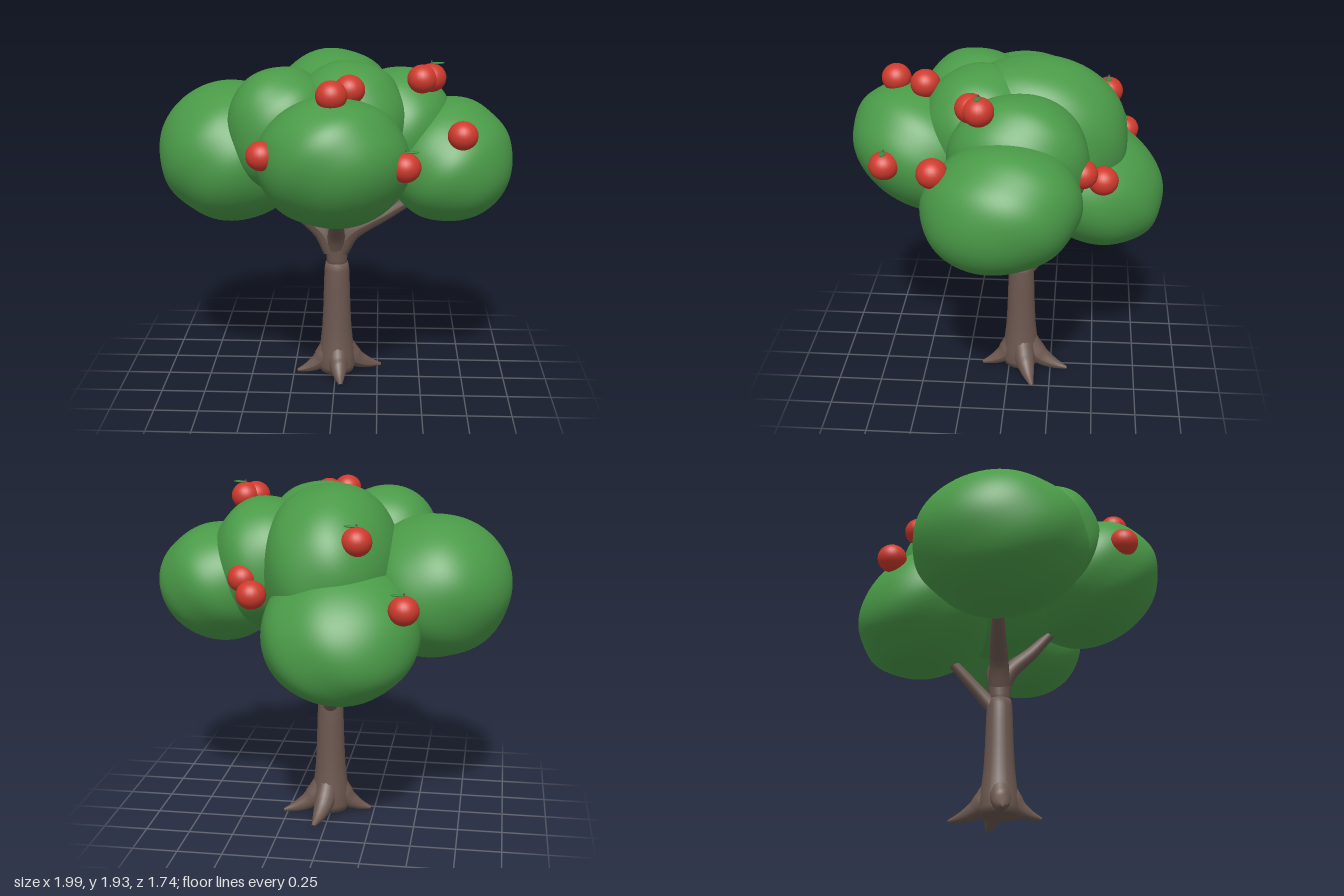
import * as THREE from 'three';
import { mergeVertices } from 'three/addons/utils/BufferGeometryUtils.js';

const mat = (name, color) => {
  const m = new THREE.MeshStandardMaterial({ color });
  m.name = name;
  return m;
};

// Smooth, faintly lumpy ellipsoid; fullness above 2 is boxier, slope leans it along z
function lumpyBlob([rx, ry, rz], seed, fullness, slope) {
  let g = new THREE.IcosahedronGeometry(1, 14);
  g.deleteAttribute('uv');
  g.deleteAttribute('normal');
  g = mergeVertices(g);
  const p = g.attributes.position;
  for (let i = 0; i < p.count; i++) {
    const x = p.getX(i), y = p.getY(i), z = p.getZ(i);
    const sum = Math.abs(x) ** fullness + Math.abs(y) ** fullness + Math.abs(z) ** fullness;
    const k = sum ** (-1 / fullness) * (1 + 0.009 * Math.sin(6 * x - 5 * y + 4 * z + seed));
    p.setXYZ(i, x * rx * k, (y * ry + slope * z * rz) * k, z * rz * k);
  }
  g.computeVertexNormals();
  return g;
}

// Round limb along a curve, tapering through the given radii
function taperedLimb(points, radii, sides = 12, steps = 14) {
  const curve = new THREE.CatmullRomCurve3(points.map(a => new THREE.Vector3(...a)));
  const g = new THREE.TubeGeometry(curve, steps, 1, sides, false);
  const p = g.attributes.position;
  const v = new THREE.Vector3();
  for (let i = 0; i <= steps; i++) {
    const t = i / steps, f = t * (radii.length - 1);
    const k = Math.min(Math.floor(f), radii.length - 2);
    const r = THREE.MathUtils.lerp(radii[k], radii[k + 1], f - k);
    const c = curve.getPointAt(t);
    for (let j = 0; j <= sides; j++) {
      const n = i * (sides + 1) + j;
      v.fromBufferAttribute(p, n).sub(c).multiplyScalar(r).add(c);
      p.setXYZ(n, v.x, Math.max(v.y, 0.003), v.z);
    }
  }
  g.computeVertexNormals();
  return g;
}

export function createModel() {
  const tree = new THREE.Group();
  tree.name = 'fruitTree';
  const bark = mat('bark brown', 0x6b574f);
  const foliage = mat('foliage green', 0x4a9a48);
  const red = mat('fruit red', 0xcf3a2d);
  const leafGreen = mat('leaf green', 0x3c8a40);

  const add = (parent, name, geometry, material, pos = [0, 0, 0]) => {
    const m = new THREE.Mesh(geometry, material);
    m.name = name;
    m.position.set(...pos);
    parent.add(m);
    return m;
  };

  // Trunk with flared foot and a collar where the crown begins
  const TX = 0.006, TZ = -0.07;
  const lower = [[0, 0.02], [0.1, 0.02], [0.113, 0.06], [0.107, 0.13], [0.097, 0.2], [0.087, 0.3],
    [0.081, 0.42], [0.077, 0.55], [0.073, 0.66], [0.066, 0.7], [0, 0.715]];
  const upper = [[0, 0.66], [0.058, 0.67], [0.06, 0.72], [0.068, 0.8], [0.078, 0.87], [0.06, 0.92], [0, 0.94]];
  for (const [name, pts] of [['lowerTrunk', lower], ['upperTrunk', upper]]) {
    add(tree, name, new THREE.LatheGeometry(pts.map(a => new THREE.Vector2(...a)), 24), bark, [TX, 0, TZ]);
  }

  // Four roots, tips given as x, z from the trunk's axis
  for (const [x, z] of [[0.265, -0.08], [0.06, -0.28], [-0.235, 0.03], [0.03, 0.23]]) {
    const at = (t, y) => [TX + x * t, y, TZ + z * t];
    add(tree, 'root', taperedLimb([at(0.15, 0.18), at(0.38, 0.085), at(0.68, 0.038), at(1, 0.014)],
      [0.058, 0.062, 0.038, 0.009]), bark);
  }

  // Main branches, reaching into the foliage
  const branches = [
    [[0.02, 0.78, TZ], [0.09, 0.89, -0.06], [0.3, 1.02, -0.03], [0.5, 1.15, 0]],
    [[-0.02, 0.78, TZ], [-0.08, 0.89, -0.07], [-0.23, 1.02, -0.07], [-0.42, 1.19, -0.06]],
    [[0, 0.78, TZ], [0.005, 0.88, -0.01], [0.008, 1.0, 0.12], [0, 1.2, 0.3]],
    [[0, 0.8, TZ], [0, 0.92, -0.08], [0, 1.05, -0.09], [0, 1.2, -0.1]],
    [[0, 0.67, -0.12], [-0.01, 0.74, -0.18], [-0.04, 0.86, -0.29], [-0.08, 1.0, -0.42]],
  ];
  const branchRadii = [
    [0.06, 0.052, 0.037, 0.028], [0.06, 0.052, 0.037, 0.028], [0.06, 0.045, 0.031, 0.026],
    [0.06, 0.042, 0.028, 0.024], [0.042, 0.035, 0.03, 0.026],
  ];
  branches.forEach((pts, i) => add(tree, 'branch', taperedLimb(pts, branchRadii[i]), bark));

  // Foliage clumps: centre, radii, fullness, slope
  const clumps = [
    ['frontFoliage', [0.005, 1.43, 0.46], [0.408, 0.355, 0.408], 2, 0.17],
    ['rightFoliage', [-0.575, 1.375, -0.045], [0.425, 0.395, 0.48], 2, 0],
    ['leftFoliage', [0.63, 1.35, 0], [0.365, 0.34, 0.415], 2, -0.07],
    ['backFoliage', [-0.105, 1.2, -0.46], [0.425, 0.352, 0.41], 2.05, 0.2],
    ['topFoliage', [-0.01, 1.475, -0.13], [0.385, 0.462, 0.525], 2.1, 0],
    ['upperLeftFoliage', [0.36, 1.49, -0.07], [0.305, 0.36, 0.375], 2.1, 0],
    ['upperRightFoliage', [-0.28, 1.55, 0.2], [0.3, 0.335, 0.315], 2.25, 0],
    ['upperFrontFoliage', [0.08, 1.57, 0.14], [0.325, 0.345, 0.33], 2.1, 0],
  ];
  clumps.forEach(([name, c, r, fullness, slope], i) =>
    add(tree, name, lumpyBlob(r, 1 + i * 1.9, fullness, slope), foliage, c));

  // Fruit: position, and whether it carries a leaf
  const fruits = [
    [[0.003, 1.815, 0.615]], [[0.09, 1.815, 0.445]], [[0.473, 1.825, 0.165]], [[0.523, 1.825, 0.12], true],
    [[0.688, 1.555, 0.34]], [[0.38, 1.455, 0.64], true], [[-0.35, 1.51, 0.645]],
    [[-0.455, 1.37, -0.65], true], [[-0.2, 1.695, -0.54], true],
    [[0.36, 1.395, -0.52]], [[0.43, 1.46, -0.41]],
  ];
  const fruitGeo = new THREE.SphereGeometry(0.081, 24, 18).scale(1, 0.95, 1);
  const stemGeo = new THREE.CylinderGeometry(0.005, 0.006, 0.03, 6);
  const leafGeo = new THREE.SphereGeometry(1, 14, 8).scale(0.04, 0.006, 0.017);
  for (const [pos, hasLeaf] of fruits) {
    const fruit = new THREE.Group();
    fruit.name = 'fruit';
    fruit.position.set(...pos);
    add(fruit, 'fruitBody', fruitGeo, red);
    if (hasLeaf) {
      add(fruit, 'stem', stemGeo, bark, [0, 0.076, 0]);
      add(fruit, 'leaf', leafGeo, leafGreen, [0.03, 0.079, 0]).rotation.z = 0.05;
    }
    tree.add(fruit);
  }
  return tree;
}
